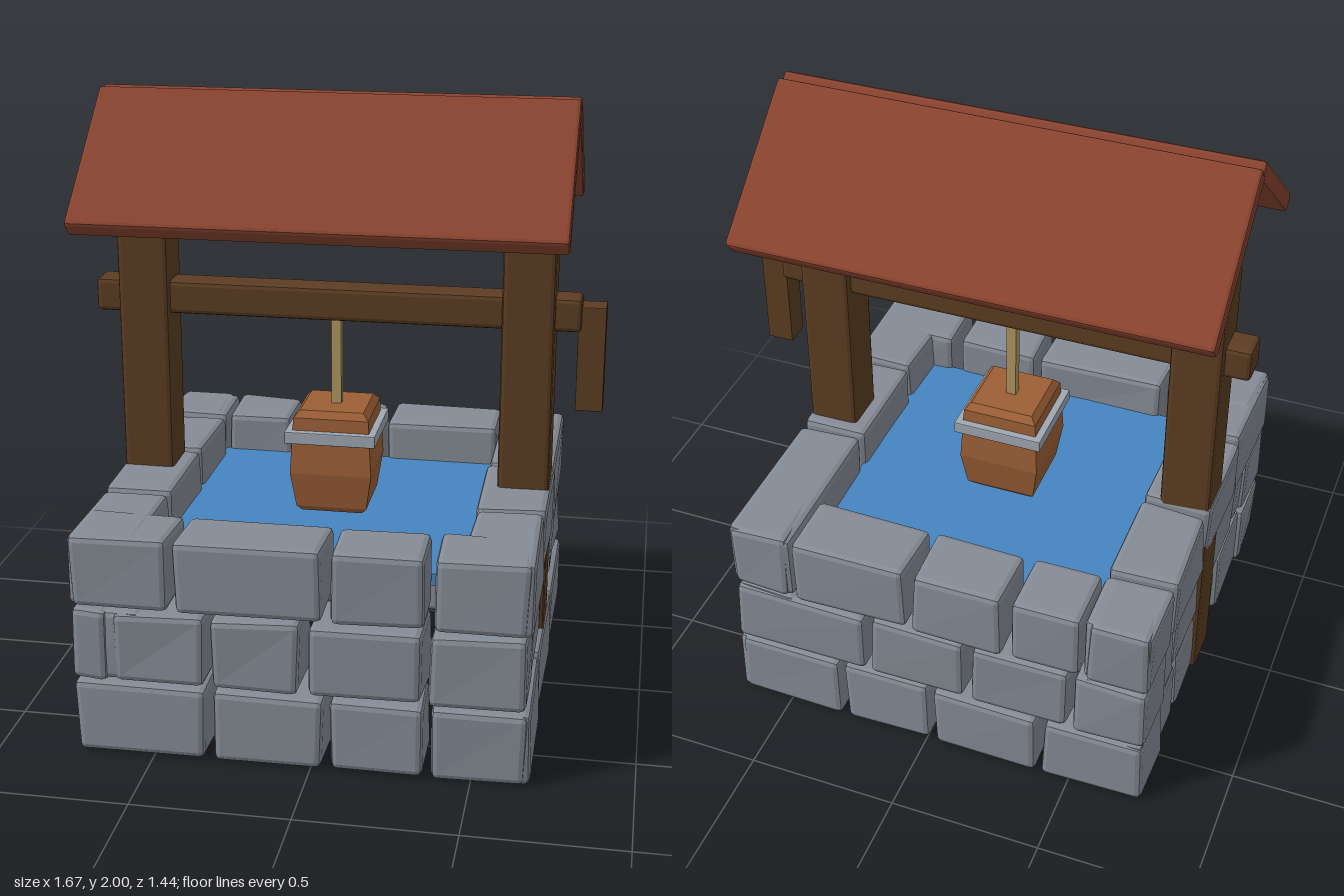
import * as THREE from 'three';
import { RoundedBoxGeometry } from 'three/addons/geometries/RoundedBoxGeometry.js';

const mat = (color, extra = {}) => new THREE.MeshStandardMaterial({ color, flatShading: true, ...extra });
const STONE = mat(0x858b95), WOOD = mat(0x5c3d22), ROOF = mat(0x88432f), WATER = mat(0x4585c0);
const BUCKET = mat(0x9c5f36), METAL = mat(0x9fa8b2), ROPE = mat(0xb0965f);

// Small seeded generator returning values in -1..1
function seeded(seed) {
  return () => {
    seed = (seed * 16807) % 2147483647;
    return (seed / 2147483647) * 2 - 1;
  };
}

// Box with chamfered edges, given by its min and max on each axis
function block(name, material, [x0, x1], [y0, y1], [z0, z1], chamfer = 0.015) {
  const geo = new RoundedBoxGeometry(x1 - x0, y1 - y0, z1 - z0, 1, chamfer);
  geo.computeVertexNormals();
  const mesh = new THREE.Mesh(geo, material);
  mesh.name = name;
  mesh.position.set((x0 + x1) / 2, (y0 + y1) / 2, (z0 + z1) / 2);
  return mesh;
}

// Chamfered block whose eight corners are each pushed in a little
function stone(rand, xs, ys, zs) {
  const mesh = block('stone', STONE, xs, ys, zs, 0.02);
  const push = Array.from({ length: 8 }, () => [rand(), rand(), rand()].map((r) => (r + 1) / 2));
  const p = mesh.geometry.attributes.position;
  for (let i = 0; i < p.count; i++) {
    const v = [p.getX(i), p.getY(i), p.getZ(i)];
    const d = push[(v[0] > 0 ? 1 : 0) + (v[1] > 0 ? 2 : 0) + (v[2] > 0 ? 4 : 0)];
    const amount = [0.012, 0.009, 0.012];
    p.setXYZ(i, ...v.map((c, k) => c - Math.sign(c) * d[k] * amount[k]));
  }
  mesh.geometry.computeVertexNormals();
  return mesh;
}

// Stone joints along each wall for the three courses, bottom to top
const COURSES = [
  {
    front: [-0.76, -0.32, 0.05, 0.36, 0.68], back: [-0.76, -0.4, -0.02, 0.3, 0.68],
    left: [-0.72, -0.22, 0.27, 0.72], right: [-0.72, -0.3, 0.2, 0.72], leftInset: 0, rightInset: 0.018,
  },
  {
    front: [-0.76, -0.63, -0.32, -0.02, 0.36, 0.68], back: [-0.76, -0.5, -0.15, 0.2, 0.68],
    left: [-0.72, -0.3, 0.12, 0.72], right: [-0.72, -0.35, 0.04, 0.4, 0.72], leftInset: 0.018, rightInset: 0.018,
  },
  {
    front: [-0.76, -0.43, 0.05, 0.365, 0.68], back: [-0.76, -0.54, -0.28, 0.045, 0.46, 0.68],
    left: [-0.72, -0.135, 0.275, 0.72], right: [-0.72, -0.46, -0.1, 0.3, 0.72], leftInset: 0, rightInset: 0,
  },
];

function stoneWall() {
  const wall = new THREE.Group();
  wall.name = 'stoneWall';
  const rand = seeded(4721);
  const gap = 0.006;
  COURSES.forEach((course, row) => {
    const ys = [0.004 + row * 0.247, 0.251 + row * 0.247 - 0.004];
    const run = (joints, place) => {
      for (let i = 0; i + 1 < joints.length; i++) wall.add(place([joints[i] + gap, joints[i + 1] - gap]));
    };
    run(course.front, (span) => stone(rand, span, ys, [0.48, 0.722]));
    run(course.back, (span) => stone(rand, span, ys, [-0.722, -0.48]));
    run(course.left, (span) => stone(rand, [0.45, 0.683 - course.leftInset], ys, span));
    run(course.right, (span) => stone(rand, [-0.76 + course.rightInset, -0.525], ys, span));
  });
  return wall;
}

// Square solid from half-width / height pairs, sides facing the axes
function squareLathe(name, material, profile) {
  const points = profile.map(([half, y]) => new THREE.Vector2(half * Math.SQRT2, y));
  const geo = new THREE.LatheGeometry(points, 4, Math.PI / 4).toNonIndexed();
  geo.computeVertexNormals();
  const mesh = new THREE.Mesh(geo, material);
  mesh.name = name;
  return mesh;
}

function bucket() {
  const group = new THREE.Group();
  group.name = 'bucket';
  group.add(
    squareLathe('bucketBody', BUCKET, [
      [0, 0.62], [0.1, 0.62], [0.117, 0.64], [0.135, 0.76], [0.124, 0.95], [0.105, 0.972], [0, 0.972],
    ]),
    block('bucketBand', METAL, [-0.15, 0.15], [0.867, 0.908], [-0.15, 0.15], 0.004),
    block('rope', ROPE, [-0.017, 0.017], [0.96, 1.28], [-0.017, 0.017], 0.002),
  );
  group.position.x = -0.038;
  return group;
}

function roof() {
  const group = new THREE.Group();
  group.name = 'roof';
  const length = 0.555, thick = 0.062, angle = 0.695;
  for (const side of [1, -1]) {
    const slab = block('roofSlab', ROOF, [-0.803, 0.728], [-thick / 2, thick / 2], [-length / 2, length / 2], 0.012);
    slab.rotation.x = side * angle;
    slab.position.set(-0.0375, 1.8, side * 0.216);
    group.add(slab);
  }
  return group;
}

export function createModel() {
  const model = new THREE.Group();
  model.name = 'well';
  model.add(stoneWall());
  model.add(block('water', WATER, [-0.54, 0.47], [0.56, 0.6], [-0.5, 0.5], 0.002));

  // Frame: two posts, the winding beam and its crank
  model.add(block('rightPost', WOOD, [-0.75, -0.582], [0, 1.6], [-0.083, 0.083]));
  model.add(block('leftPost', WOOD, [0.505, 0.673], [0, 1.6], [-0.083, 0.083]));
  model.add(block('beam', WOOD, [-0.833, 0.757], [1.262, 1.372], [-0.055, 0.055]));
  model.add(block('crank', WOOD, [0.745, 0.833], [1.0, 1.345], [-0.043, 0.043], 0.003));

  model.add(bucket());
  model.add(roof());
  return model;
}
